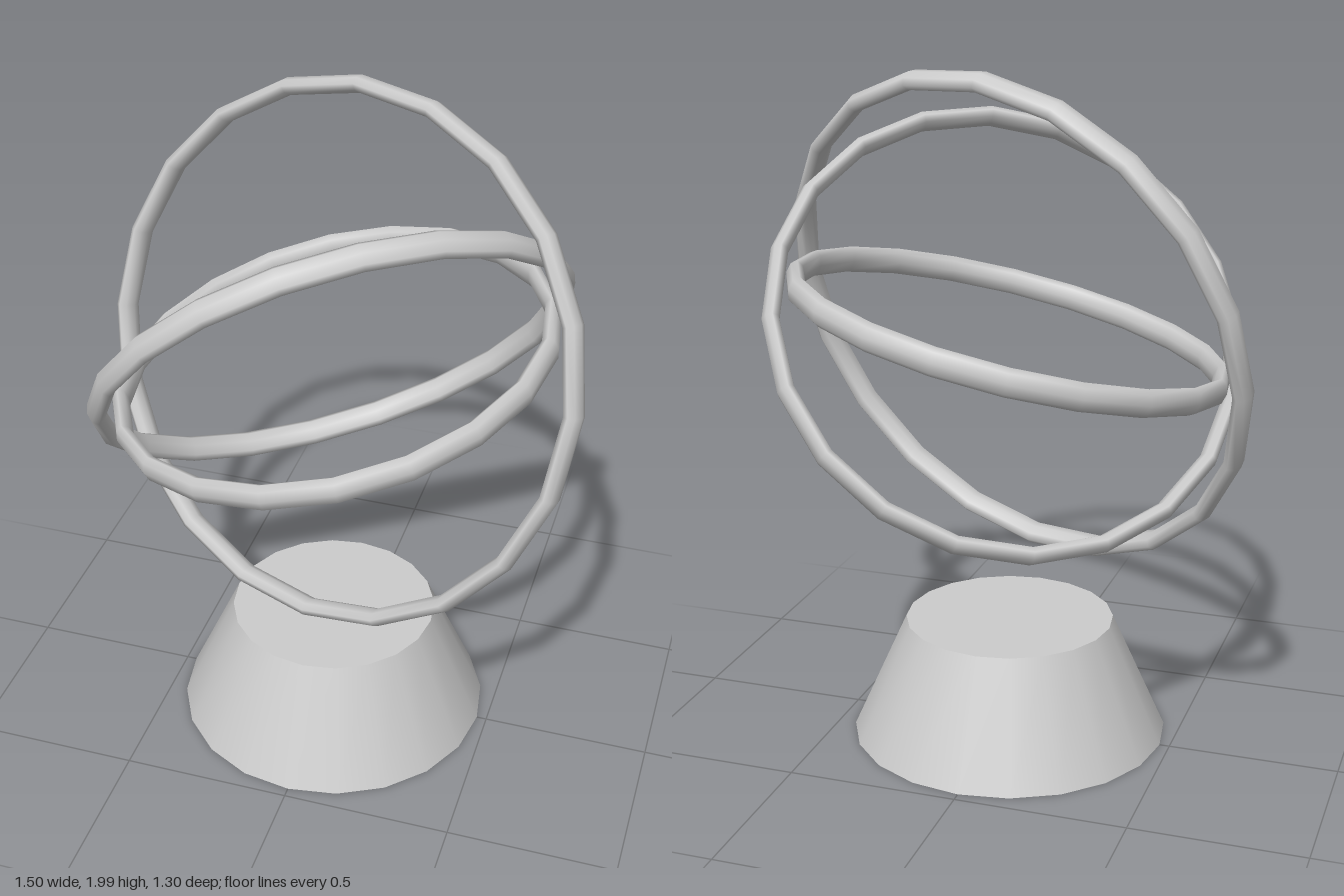
import * as THREE from 'three';

const SIDES = 20;
const CENTRE_Y = 1.25;

export function createModel() {
  const model = new THREE.Group();
  model.name = 'ringSculpture';
  const material = new THREE.MeshStandardMaterial({ color: 0xcccccc });

  // Tapered pedestal
  const height = 0.355;
  const base = new THREE.Mesh(new THREE.CylinderGeometry(0.31, 0.47, height, SIDES), material);
  base.name = 'pedestal';
  base.position.y = height / 2;
  model.add(base);

  // Floating ring: oval section, wider along the ring's axis
  function addRing(name, radius, axis) {
    const geometry = new THREE.TorusGeometry(radius, 0.025, 8, SIDES);
    geometry.scale(1, 1, 1.6);
    const ring = new THREE.Mesh(geometry, material);
    ring.name = name;
    const n = new THREE.Vector3(...axis).normalize();
    const v = new THREE.Vector3().crossVectors(n, new THREE.Vector3(1, 0, 0)).normalize();
    const u = new THREE.Vector3().crossVectors(v, n);
    ring.quaternion.setFromRotationMatrix(new THREE.Matrix4().makeBasis(u, v, n));
    ring.position.y = CENTRE_Y;
    model.add(ring);
  }

  addRing('outerRing', 0.76, [-0.31, 0.31, 0.9]);
  addRing('middleRing', 0.685, [-0.482, 0.606, -0.633]);
  addRing('innerRing', 0.628, [-0.22, 0.97, 0.09]);

  return model;
}
